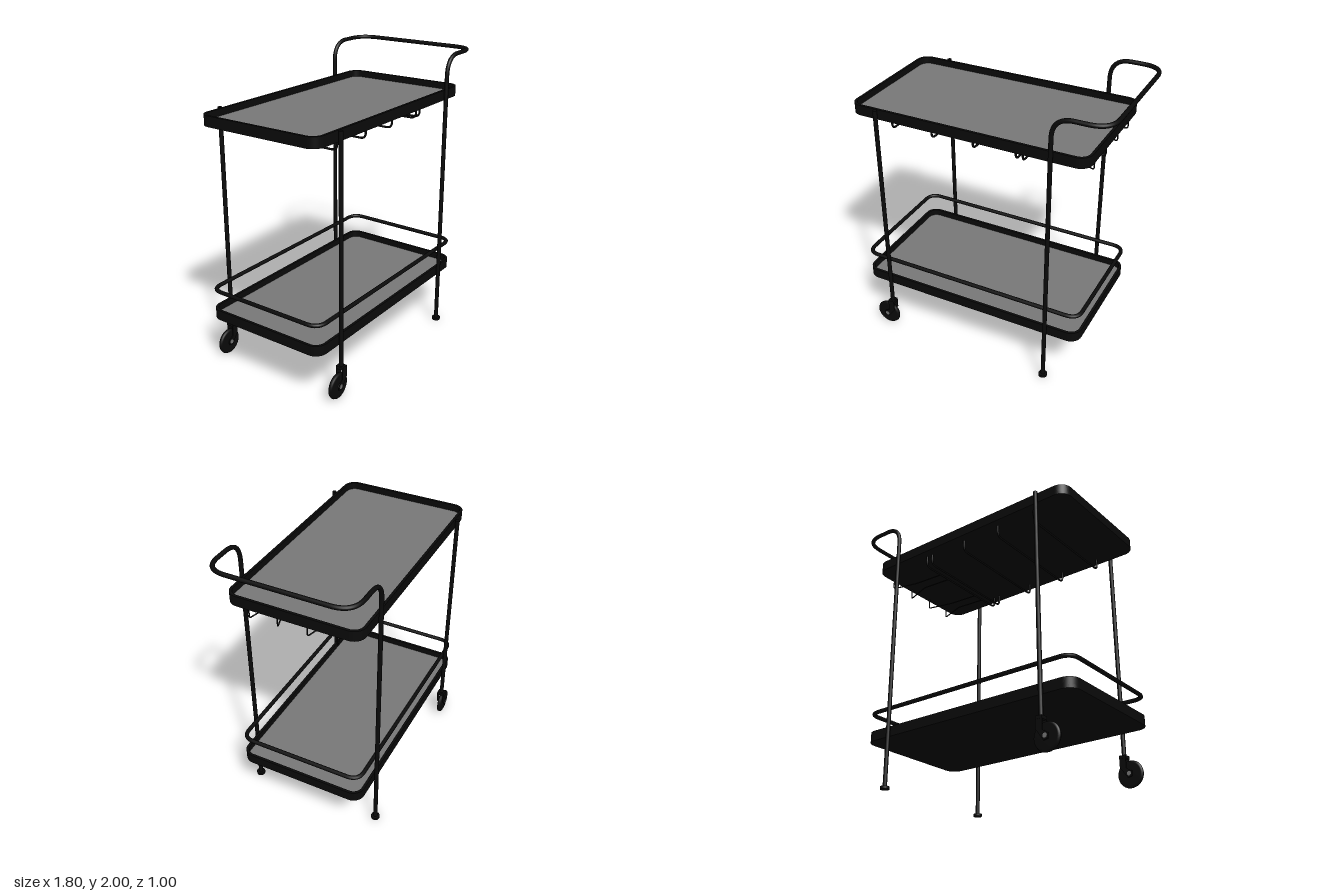
import * as THREE from 'three';

const black = new THREE.MeshStandardMaterial({ name: 'black metal', color: 0x0a0a0a });
const grey = new THREE.MeshStandardMaterial({ name: 'grey panel', color: 0x787878 });

const V = (x, y, z) => new THREE.Vector3(x, y, z);

function add(parent, name, geometry, material = black) {
  const mesh = new THREE.Mesh(geometry, material);
  mesh.name = name;
  parent.add(mesh);
  return mesh;
}

// Polyline with each corner rounded off by the given radius
function roundedPath(points, radius, closed = false) {
  const path = new THREE.CurvePath();
  const n = points.length;
  const toward = (a, b) => a.clone().add(b.clone().sub(a).setLength(radius));
  let from = closed ? toward(points[0], points[1]) : points[0];
  const last = closed ? n : n - 2;
  for (let i = 1; i <= last; i++) {
    const p = points[i % n];
    const a = toward(p, points[i - 1]);
    const b = toward(p, points[(i + 1) % n]);
    path.add(new THREE.LineCurve3(from, a));
    path.add(new THREE.QuadraticBezierCurve3(a, p, b));
    from = b;
  }
  if (!closed) path.add(new THREE.LineCurve3(from, points[n - 1]));
  return path;
}

// Rounded rectangle outline centred on the origin
function roundedRect(w, d, r, target = new THREE.Shape()) {
  const x = w / 2, y = d / 2;
  target.moveTo(-x + r, -y);
  target.lineTo(x - r, -y).absarc(x - r, -y + r, r, -Math.PI / 2, 0);
  target.lineTo(x, y - r).absarc(x - r, y - r, r, 0, Math.PI / 2);
  target.lineTo(-x + r, y).absarc(-x + r, y - r, r, Math.PI / 2, Math.PI);
  target.lineTo(-x, -y + r).absarc(-x + r, -y + r, r, Math.PI, Math.PI * 1.5);
  return target;
}

const slab = (shape, height) =>
  new THREE.ExtrudeGeometry(shape, { depth: height, bevelEnabled: false, curveSegments: 10 })
    .rotateX(-Math.PI / 2);

// Tray: upright rim, black underside and grey panel
function makeTray(name, y) {
  const tray = new THREE.Group();
  tray.name = name;
  const rim = roundedRect(1.65, 0.9, 0.08);
  rim.holes.push(roundedRect(1.614, 0.864, 0.062, new THREE.Path()));
  add(tray, 'trayRim', slab(rim, 0.07));
  const inner = roundedRect(1.616, 0.866, 0.063);
  add(tray, 'trayBase', slab(inner, 0.02));
  add(tray, 'trayPanel', slab(inner, 0.005), grey).position.y = 0.02;
  tray.position.set(-0.073, y, 0);
  return tray;
}

// Wheel with grey hub caps, held by a two-sided fork
function makeCaster(z) {
  const caster = new THREE.Group();
  caster.name = 'caster';
  const profile = [[0, -0.014], [0.075, -0.014], [0.086, -0.01], [0.09, 0], [0.086, 0.01], [0.075, 0.014], [0, 0.014]]
    .map(([r, h]) => new THREE.Vector2(r, h));
  add(caster, 'wheel', new THREE.LatheGeometry(profile, 36).rotateX(Math.PI / 2)).position.set(-0.73, 0.09, 0);
  add(caster, 'axle', new THREE.CylinderGeometry(0.015, 0.015, 0.056, 16).rotateX(Math.PI / 2), grey)
    .position.set(-0.73, 0.092, 0);
  add(caster, 'forkTop', new THREE.BoxGeometry(0.046, 0.02, 0.054)).position.set(-0.69, 0.208, 0);
  const side = new THREE.Shape([[-0.713, 0.218], [-0.713, 0.13], [-0.752, 0.105], [-0.75, 0.072],
    [-0.72, 0.065], [-0.667, 0.14], [-0.667, 0.218]].map(([x, y]) => new THREE.Vector2(x, y)));
  for (const s of [-1, 1]) {
    add(caster, 'forkSide', new THREE.ExtrudeGeometry(side, { depth: 0.006, bevelEnabled: false }))
      .position.z = s * 0.023 - 0.003;
  }
  caster.position.z = z;
  return caster;
}

export function createModel() {
  const cart = new THREE.Group();
  cart.name = 'servingCart';

  cart.add(makeTray('upperTray', 1.68), makeTray('lowerTray', 0.36));

  // Guard rail above the lower tray
  const rail = roundedPath([V(-0.888, 0.565, -0.438), V(0.742, 0.565, -0.438),
    V(0.742, 0.565, 0.438), V(-0.888, 0.565, 0.438)], 0.085, true);
  add(cart, 'guardRail', new THREE.TubeGeometry(rail, 240, 0.014, 10, true));

  // One tube forms both handle legs and the push handle
  const zl = 0.469;
  const handle = roundedPath([V(0.525, 0.01, zl), V(0.525, 1.985, zl), V(0.88, 1.985, zl),
    V(0.88, 1.985, -zl), V(0.525, 1.985, -zl), V(0.525, 0.01, -zl)], 0.14);
  add(cart, 'handleFrame', new THREE.TubeGeometry(handle, 320, 0.0145, 12));

  for (const s of [-1, 1]) {
    add(cart, 'foot', new THREE.CylinderGeometry(0.03, 0.03, 0.018, 20)).position.set(0.525, 0.009, s * zl);
    add(cart, 'wheelLeg', new THREE.CylinderGeometry(0.0145, 0.0145, 1.55, 14)).position.set(-0.69, 0.975, s * zl);
    cart.add(makeCaster(s * zl));
  }

  // Bottle rack wires across the underside of the upper tray
  for (const x of [-0.62, -0.325, -0.03, 0.265, 0.312]) {
    const wire = roundedPath([V(x, 1.685, 0.39), V(x, 1.602, 0.39), V(x, 1.602, -0.39), V(x, 1.685, -0.39)], 0.04);
    add(cart, 'rackWire', new THREE.TubeGeometry(wire, 90, 0.007, 8));
  }

  // Glass holder wires, each pair flaring towards the handle end
  for (const s of [-1, 1]) {
    for (const [zIn, zOut] of [[0.24, 0.295], [0.155, 0.1]]) {
      const wire = roundedPath([V(0.312, 1.602, s * zIn), V(0.55, 1.614, s * zIn),
        V(0.733, 1.607, s * zOut), V(0.733, 1.685, s * zOut)], 0.014);
      add(cart, 'glassWire', new THREE.TubeGeometry(wire, 60, 0.0045, 8));
    }
  }

  return cart;
}
